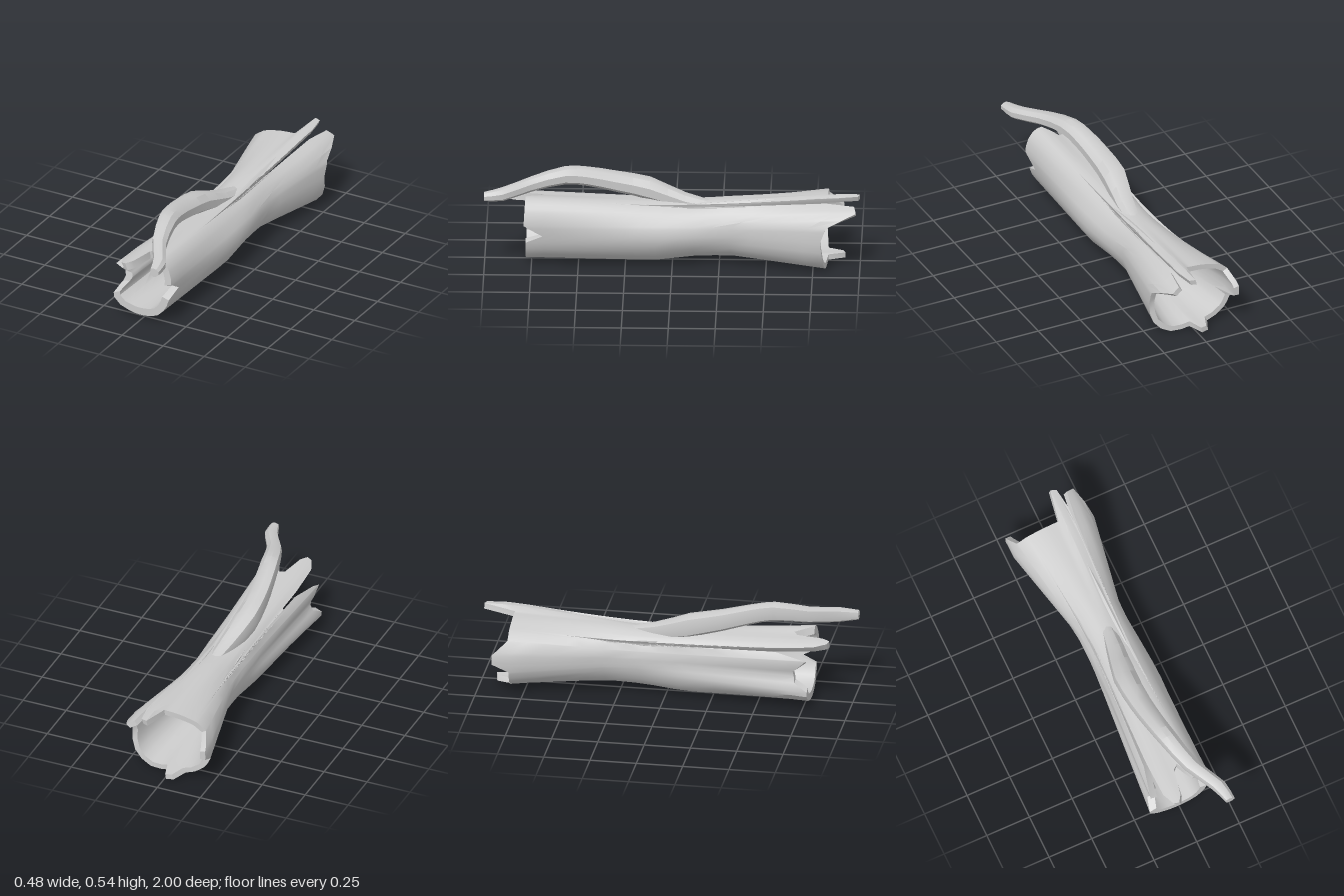
import * as THREE from 'three';
import { toCreasedNormals } from 'three/addons/utils/BufferGeometryUtils.js';

const material = new THREE.MeshStandardMaterial({ color: 0xcccccc, side: THREE.DoubleSide });
const { lerp, clamp, degToRad } = THREE.MathUtils;
const CX = 0.01, CY = 0.19, ROWS = 16;

// Outer radius every 30 degrees (from +x, counter-clockwise) at stations along z
const STATIONS = [
  { z: -0.82, wall: 0.03, r: [.23, .24, .215, .19, .205, .25, .25, .235, .2, .18, .22, .24] },
  { z: -0.3, wall: 0.03, r: [.145, .155, .17, .17, .16, .145, .13, .13, .145, .15, .15, .145] },
  { z: -0.12, wall: 0.03, r: [.165, .16, .16, .155, .15, .135, .125, .13, .15, .155, .155, .155] },
  { z: 0.1, wall: 0.04, r: [.18, .17, .17, .16, .16, .14, .125, .15, .175, .18, .18, .175] },
  { z: 0.79, wall: 0.042, r: [.16, .195, .22, .18, .19, .2, .155, .21, .185, .17, .17, .16] },
];

// Broken ends as angle, z; the deep notches at 133 and 61 degrees are the splits
const FRONT_EDGE = [
  [0, .69], [20, .79], [68, .78], [83, .68], [92, .7], [100, .84], [108, .88], [117, .87], [126, .8],
  [130, .6], [133, -.08], [137, .6], [151, .77], [170, .7], [192, .71], [203, .78], [345, .78], [360, .69],
];
const BACK_EDGE = [
  [0, -.79], [20, -.82], [40, -.98], [52, -.97], [58, -.82], [61, -.2], [64, -.88], [68, -.99], [76, -1],
  [83, -.83], [151, -.83], [170, -.91], [182, -.91], [192, -.82], [240, -.83], [250, -.91], [262, -.92],
  [272, -.83], [360, -.79],
];

// Height of a broken edge at an angle
function edgeAt(edge, deg) {
  const i = edge.findIndex(p => p[0] > deg);
  const [a, za] = edge[i - 1], [b, zb] = edge[i];
  return lerp(za, zb, (deg - a) / (b - a));
}

// Smooth radius around one station
function radiusAt(r, deg) {
  const f = deg / 30, i = Math.floor(f), t = f - i;
  const [a, b, c, d] = [-1, 0, 1, 2].map(k => r[(i + k + 12) % 12]);
  return b + 0.5 * t * (c - a + t * (2 * a - 5 * b + 4 * c - d + t * (3 * (b - c) + d - a)));
}

// Point on the outer or inner face of the hollow trunk
function trunkPoint(deg, z, inner) {
  let s = 0;
  while (s < STATIONS.length - 2 && z > STATIONS[s + 1].z) s++;
  const A = STATIONS[s], B = STATIONS[s + 1];
  const t = clamp((z - A.z) / (B.z - A.z), 0, 1);
  let r = lerp(radiusAt(A.r, deg), radiusAt(B.r, deg), t);
  // The top splinter lifts away toward the back
  if (deg > 62 && deg < 80) r += 0.022 * clamp((-z - 0.2) / 0.7, 0, 1);
  if (inner) r -= lerp(A.wall, B.wall, t);
  const a = degToRad(deg);
  return [CX + r * Math.cos(a), CY + r * Math.sin(a), z];
}

// Skin a list of closed loops
function loft(loops, wrap) {
  const n = loops[0].length, index = [];
  const last = wrap ? loops.length : loops.length - 1;
  for (let i = 0; i < last; i++) {
    for (let k = 0; k < n; k++) {
      const j = (i + 1) % loops.length, m = (k + 1) % n;
      const a = i * n + k, b = j * n + k, c = j * n + m, d = i * n + m;
      index.push(a, d, c, a, c, b);
    }
  }
  const g = new THREE.BufferGeometry();
  g.setAttribute('position', new THREE.Float32BufferAttribute(loops.flat(2), 3));
  g.setIndex(index);
  return toCreasedNormals(g, 0.6);
}

// Hollow wall: each loop runs along the outside and returns along the inside
function trunk() {
  const angles = new Set([...FRONT_EDGE, ...BACK_EDGE].map(p => p[0] % 360));
  for (let a = 0; a < 360; a += 15) angles.add(a);
  const loops = [...angles].sort((a, b) => a - b).map(deg => {
    const front = edgeAt(FRONT_EDGE, deg), back = edgeAt(BACK_EDGE, deg);
    const zs = Array.from({ length: ROWS + 1 }, (_, j) => lerp(front, back, j / ROWS));
    return [
      ...zs.map(z => trunkPoint(deg, z, false)),
      ...zs.reverse().map(z => trunkPoint(deg, z, true)),
    ];
  });
  return loft(loops, true);
}

// Tapered limb running toward +z: each knot is x, y, z, radius; both ends are closed
function limb(knots, sides, steps) {
  const path = new THREE.CatmullRomCurve3(knots.map(k => new THREE.Vector3(k[0], k[1], k[2])));
  const loops = [];
  for (let i = 0; i <= steps; i++) {
    const t = i / steps, p = path.getPoint(t);
    const f = t * (knots.length - 1), s = Math.min(Math.floor(f), knots.length - 2);
    const ring = radius => Array.from({ length: sides }, (_, k) => {
      const a = k / sides * Math.PI * 2 + 0.3;
      const w = radius * (1 + 0.08 * Math.sin(k * 2.4 + 1));
      return [p.x + w * Math.cos(a), p.y + w * Math.sin(a), p.z];
    });
    if (i === 0) loops.push(ring(0));
    loops.push(ring(lerp(knots[s][3], knots[s + 1][3], f - s)));
    if (i === steps) loops.push(ring(0));
  }
  return loft(loops, false);
}

export function createModel() {
  const group = new THREE.Group();
  group.name = 'hollowLog';
  const add = (name, geometry) => {
    const mesh = new THREE.Mesh(geometry, material);
    mesh.name = name;
    group.add(mesh);
  };

  // Hollow trunk with splintered ends and two long splits
  add('trunk', trunk());

  // Branch growing out of the top and bending to the left
  add('branch', limb([
    [.03, .31, -.25, .03], [.01, .335, -.07, .05], [-.02, .395, .12, .066], [-.015, .435, .3, .06],
    [.005, .47, .45, .055], [.03, .485, .57, .052], [.085, .455, .75, .044], [.17, .43, .9, .04],
    [.195, .425, 1, .026],
  ], 9, 16));

  // Thin bark ridge running back from the branch
  add('barkRidge', limb([
    [.07, .375, -.8, .012], [.07, .36, -.5, .016], [.075, .34, -.2, .014], [.085, .325, .03, .004],
  ], 6, 6));
  return group;
}
